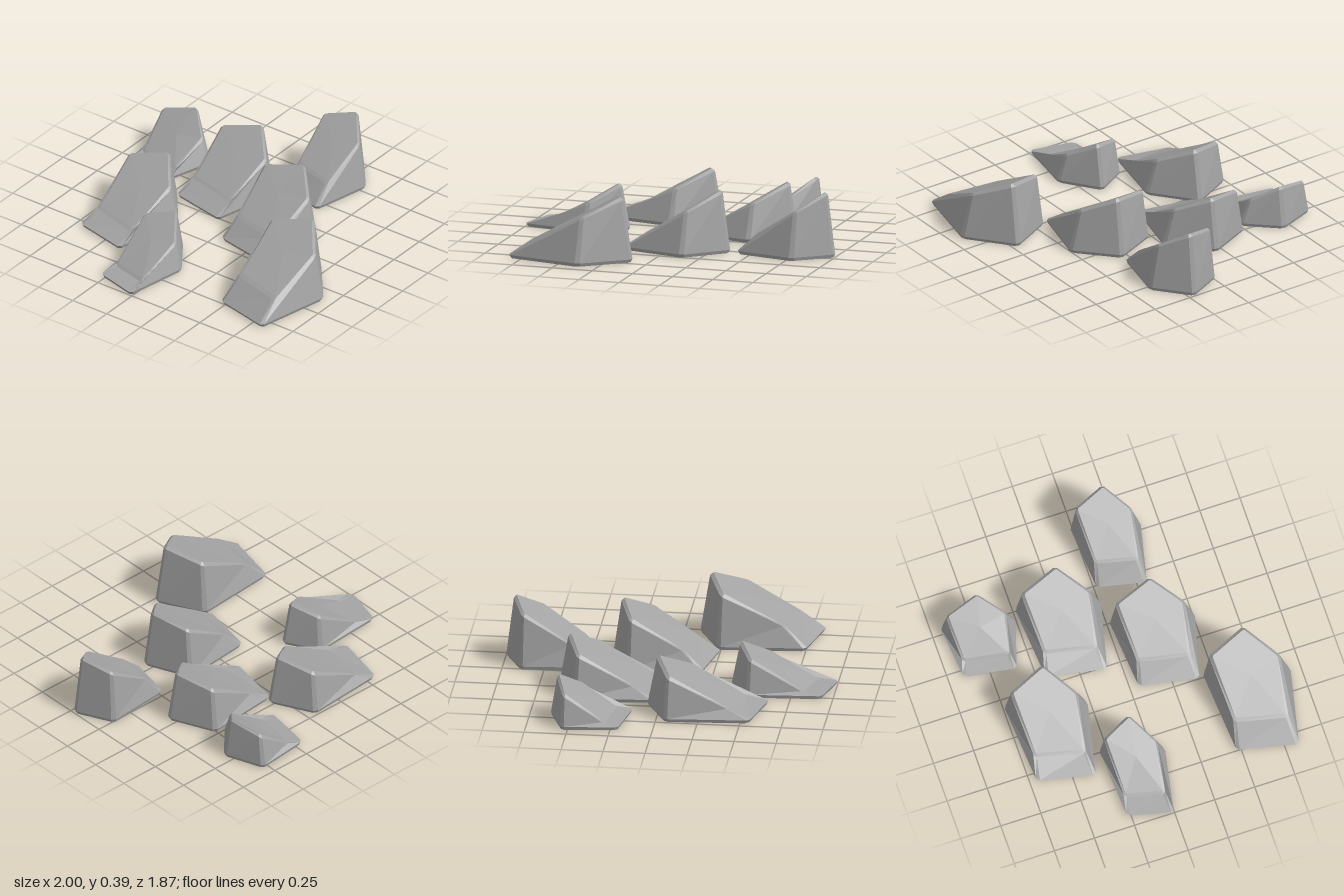
import * as THREE from 'three';

const stone = new THREE.MeshStandardMaterial({ color: 0xa3a3a3, flatShading: true });
stone.name = 'grey stone';

// Corners shared by every rock, as fractions of its footprint:
// left tip, back left, back right, right peak, front
const BASE = [[0, 0.79], [0.11, 0.075], [0.81, 0], [1, 0.565], [0.63, 1]];
const TOP = [[0.19, 0.76], [0.285, 0.13], [0.795, 0.07], [0.92, 0.555], [0.64, 0.88]];
const DROP = [0.255, 0.235, 0.045, 0, 0.1]; // corner height below the peak

// Footprint x0, x1, z0, z1 and peak height
const ROCKS = [
  [-0.834, -0.09, 0.433, 0.938, 0.388],
  [-0.254, 0.377, 0.015, 0.513, 0.37],
  [0.418, 1.005, -0.015, 0.393, 0.39],
  [-0.024, 0.637, -0.487, 0.013, 0.33],
  [-0.634, 0.083, -0.745, -0.267, 0.32],
  [-1.004, -0.372, 0.302 * -1, 0.073, 0.28],
  [0.15, 0.63, -0.942, -0.502, 0.262],
];

const centre = (ring) =>
  ring.reduce((s, p) => s.add(p), new THREE.Vector3()).divideScalar(ring.length);

// Shrink a ring towards its centre in plan and shift its height
function inset(ring, k, dy) {
  const c = centre(ring);
  return ring.map((p) => new THREE.Vector3(c.x + (p.x - c.x) * k, p.y + dy, c.z + (p.z - c.z) * k));
}

// Replace each corner by two points, cutting it off
function chamfer(ring, w) {
  const n = ring.length;
  return ring.flatMap((p, i) =>
    [ring[(i + n - 1) % n], ring[(i + 1) % n]].map((q) =>
      p.clone().add(q.clone().sub(p).setLength(w))));
}

function rockGeometry([x0, x1, z0, z1, h]) {
  const place = ([u, v], y) => new THREE.Vector3(x0 + u * (x1 - x0), y, z0 + v * (z1 - z0));
  const foot = BASE.map((p) => place(p, 0.02));
  const shoulder = TOP.map((p, i) => place(p, Math.max(0.03, h - DROP[i] - 0.014)));
  const crown = inset(shoulder, 0.91, 0.014);
  const rings = [
    chamfer(inset(foot, 0.97, -0.02), 0.018),
    chamfer(foot, 0.018),
    chamfer(shoulder, 0.016),
    chamfer(crown, 0.006),
  ];
  const pos = [];
  const tri = (...ps) => ps.forEach((p) => pos.push(p.x, p.y, p.z));
  const n = rings[0].length;
  const last = rings.length - 1;
  const low = centre(rings[0]);
  const high = centre(rings[last]);
  for (let i = 0; i < n; i++) {
    const j = (i + 1) % n;
    // Sides and bevels
    for (let r = 0; r < last; r++) {
      const [a, b] = [rings[r], rings[r + 1]];
      tri(a[j], a[i], b[i]);
      tri(a[j], b[i], b[j]);
    }
    // Caps
    tri(high, rings[last][j], rings[last][i]);
    tri(low, rings[0][i], rings[0][j]);
  }
  const g = new THREE.BufferGeometry();
  g.setAttribute('position', new THREE.Float32BufferAttribute(pos, 3));
  g.computeVertexNormals();
  return g;
}

export function createModel() {
  const group = new THREE.Group();
  group.name = 'slanted rocks';
  ROCKS.forEach((spec, i) => {
    const rock = new THREE.Mesh(rockGeometry(spec), stone);
    rock.name = `rock${i + 1}`;
    group.add(rock);
  });
  return group;
}
